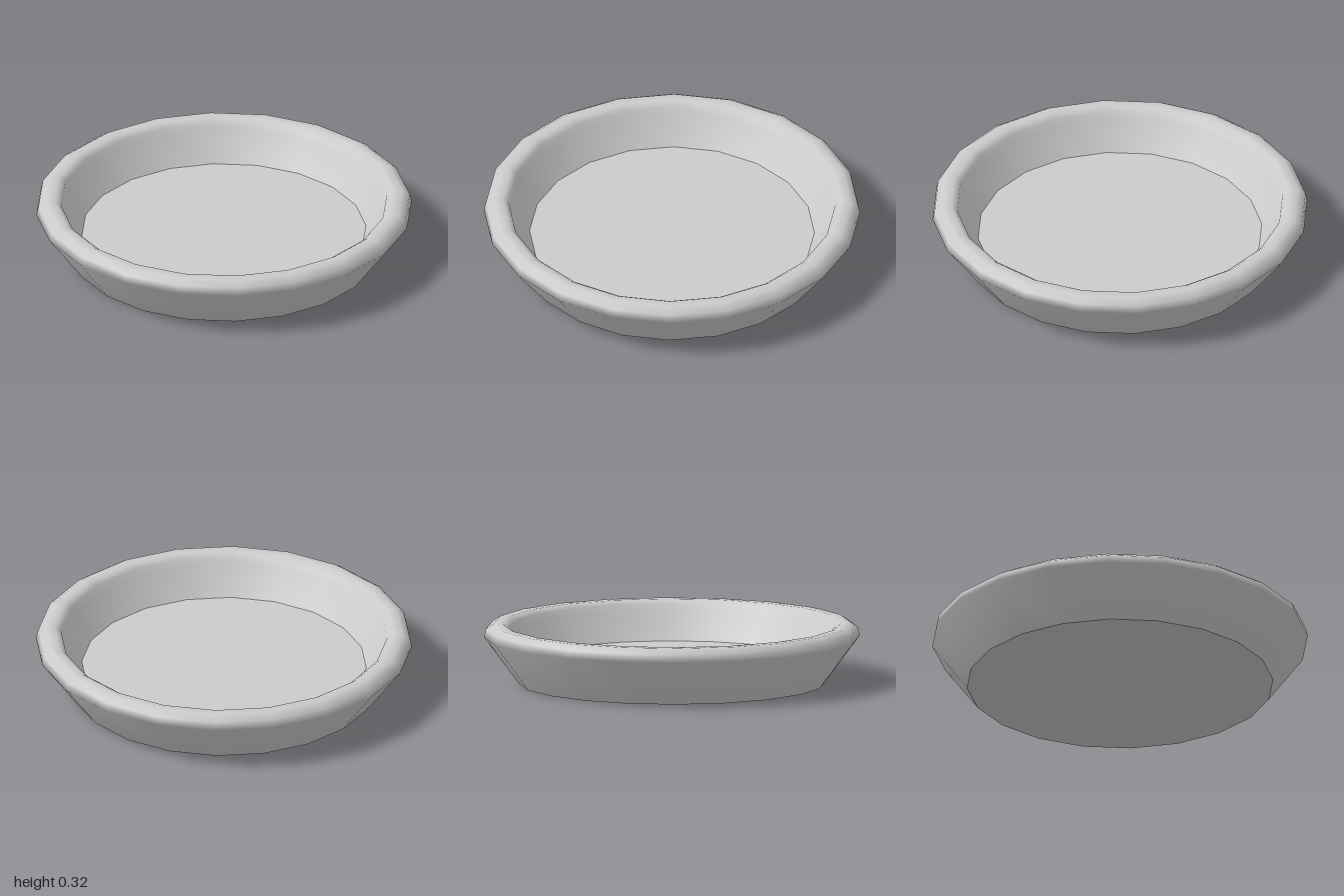
import * as THREE from 'three';

const SIDES = 20;

export function createModel() {
  const group = new THREE.Group();
  group.name = 'dish';
  const material = new THREE.MeshStandardMaterial({ color: 0xcccccc });

  const add = (name, geometry, y = 0) => {
    const mesh = new THREE.Mesh(geometry, material);
    mesh.name = name;
    mesh.position.y = y;
    group.add(mesh);
  };

  // Sloping wall: up the outside, over the rounded rim, down the inside
  const profile = [
    [0.815, 0], [1, 0.25], [0.99, 0.293], [0.95, 0.32],
    [0.9, 0.32], [0.868, 0.298], [0.858, 0.26], [0.757, 0.115],
  ].map(([r, y]) => new THREE.Vector2(r, y));
  add('wallAndRim', new THREE.LatheGeometry(profile, SIDES));

  // Flat discs, kept separate so their edges stay sharp
  add('innerFloor', new THREE.CircleGeometry(0.757, SIDES).rotateX(-Math.PI / 2), 0.115);
  add('underside', new THREE.CircleGeometry(0.815, SIDES).rotateX(Math.PI / 2));

  return group;
}
